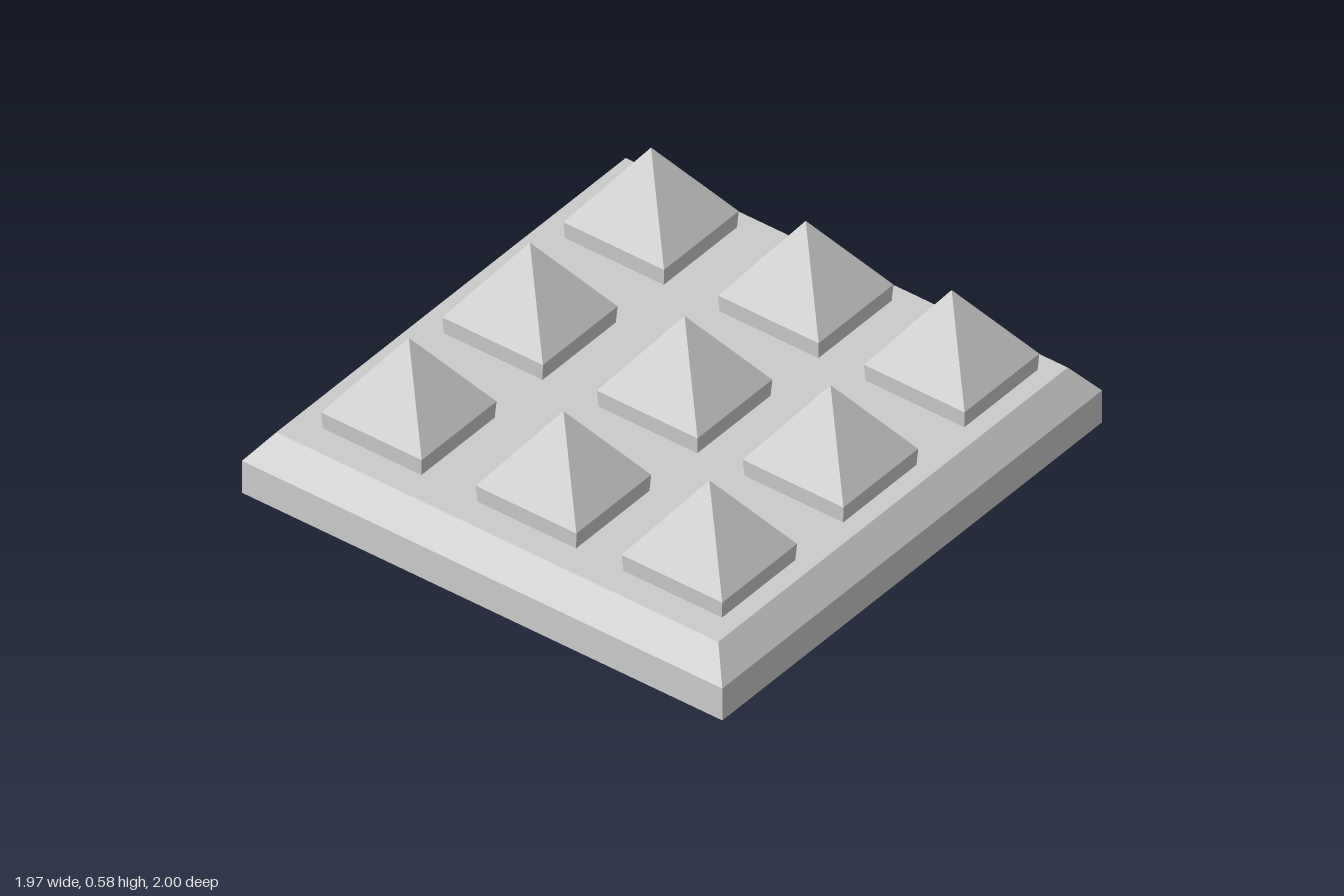
import * as THREE from 'three';

const material = new THREE.MeshStandardMaterial({ color: 0xcccccc, flatShading: true });

// Four-sided solid from [half width, y] pairs, listed bottom to top
function squareLathe(profile, scaleX, scaleZ) {
  const points = profile.map(([half, y]) => new THREE.Vector2(half * Math.SQRT2, y));
  return new THREE.LatheGeometry(points, 4, Math.PI / 4).scale(scaleX, 1, scaleZ);
}

export function createModel() {
  const model = new THREE.Group();
  model.name = 'spikedPlate';

  // Slab with a sloped upper edge
  const slab = new THREE.Mesh(
    squareLathe([[0, 0], [1, 0], [1, 0.13], [0.92, 0.235], [0, 0.235]], 0.983, 1), material);
  slab.name = 'slab';
  model.add(slab);

  // Pyramid studs on short, slightly flared footings
  const studGeometry = squareLathe(
    [[0, 0.22], [0.975, 0.22], [0.98, 0.235], [1, 0.3], [0, 0.582]], 0.206, 0.197);
  for (const x of [-0.597, 0.036, 0.633]) {
    for (const z of [-0.658, -0.02, 0.618]) {
      const stud = new THREE.Mesh(studGeometry, material);
      stud.name = 'pyramidStud';
      stud.position.set(x, 0, z);
      model.add(stud);
    }
  }
  return model;
}
